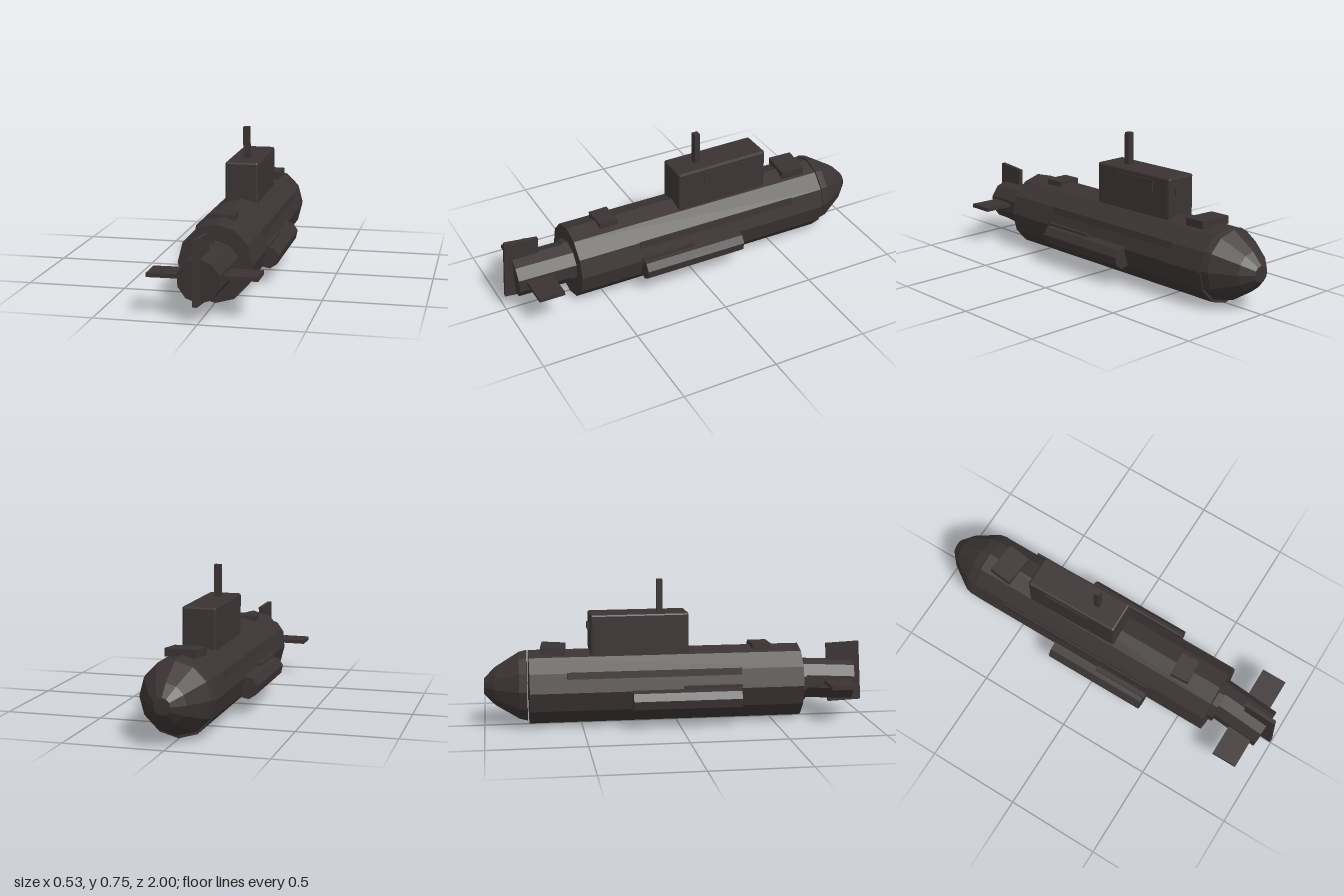
import * as THREE from 'three';
import { RoundedBoxGeometry } from 'three/addons/geometries/RoundedBoxGeometry.js';

export function createModel() {
  const model = new THREE.Group();
  model.name = 'submarine';
  const darkSteel = new THREE.MeshStandardMaterial({ color: 0x3b3333 });
  darkSteel.name = 'darkSteel';

  // Faceted mesh helper
  function add(name, geometry, x, y, z, rx = 0, ry = 0, rz = 0) {
    const g = geometry.index ? geometry.toNonIndexed() : geometry;
    g.computeVertexNormals();
    const mesh = new THREE.Mesh(g, darkSteel);
    mesh.name = name;
    mesh.position.set(x, y, z);
    mesh.rotation.set(rx, ry, rz);
    model.add(mesh);
    return mesh;
  }
  const box = (w, h, d) => new THREE.BoxGeometry(w, h, d);
  // Low-poly tube lying along z
  const barrel = (r, length, sides, rEnd = r) =>
    new THREE.CylinderGeometry(r, rEnd, length, sides).rotateX(Math.PI / 2);

  // Hull, slightly narrower than tall
  add('hull', barrel(0.195, 1.42, 12).scale(0.95, 1, 1), 0.003, 0.236, -0.06);

  // Faceted nose with a blunt tip, pointing to -z
  const noseProfile = [[0, 0], [0.187, 0], [0.178, 0.04], [0.1, 0.165], [0.042, 0.22], [0, 0.222]]
    .map(([r, h]) => new THREE.Vector2(r, h));
  const nose = new THREE.LatheGeometry(noseProfile, 12).rotateX(-Math.PI / 2);
  add('nose', nose, 0.002, 0.245, -0.778, 0, -0.03, 0);

  // Tail section with its collar
  add('tailCollar', barrel(0.116, 0.035, 10), 0.003, 0.235, 0.665);
  add('tail', barrel(0.107, 0.31, 10), 0.004, 0.236, 0.79, 0.04, -0.07, 0);

  // Rudder and tail planes
  add('rudder', box(0.022, 0.315, 0.175), -0.006, 0.273, 0.902, -0.06, -0.07, 0);
  for (const side of [-1, 1]) {
    add(side > 0 ? 'leftTailPlane' : 'rightTailPlane', box(0.2, 0.02, 0.135),
      side * 0.166, 0.241 + side * 0.003, 0.845, 0, 0, 0.01);
  }

  // Conning tower and mast
  add('tower', new RoundedBoxGeometry(0.172, 0.26, 0.51, 1, 0.01), 0, 0.49, -0.2, 0, 0.015, 0);
  add('mast', box(0.034, 0.18, 0.03), 0.003, 0.696, -0.087, 0, 0, 0.008);
  add('towerRearVent', box(0.085, 0.03, 0.02), 0, 0.552, -0.456);
  for (const side of [-1, 1]) {
    add('towerSidePanel', box(0.008, 0.06, 0.25), side * 0.087, 0.565, -0.22, 0, 0.015, 0);
  }

  // Deck hatches
  add('frontHatch', box(0.13, 0.035, 0.1), -0.002, 0.426, 0.443, 0, 0.04, 0);
  add('rearHatch', box(0.168, 0.04, 0.125), 0.004, 0.434, -0.642, 0.05, -0.1, 0);

  // Side pods, top strips and hull rails
  for (const side of [-1, 1]) {
    const label = side > 0 ? 'left' : 'right';
    add(label + 'Pod', barrel(0.058, 0.56, 8).rotateZ(0.2 * side), side * 0.193, 0.187 + side * 0.004, 0.032);
    add(label + 'PodStrip', box(0.035, 0.012, 0.3), side * 0.185, 0.25, 0.17);
    add(label + 'Rail', box(0.008, 0.035, 0.9), side * 0.172, 0.323, -0.13, 0, 0, side * 0.1);
  }
  return model;
}
